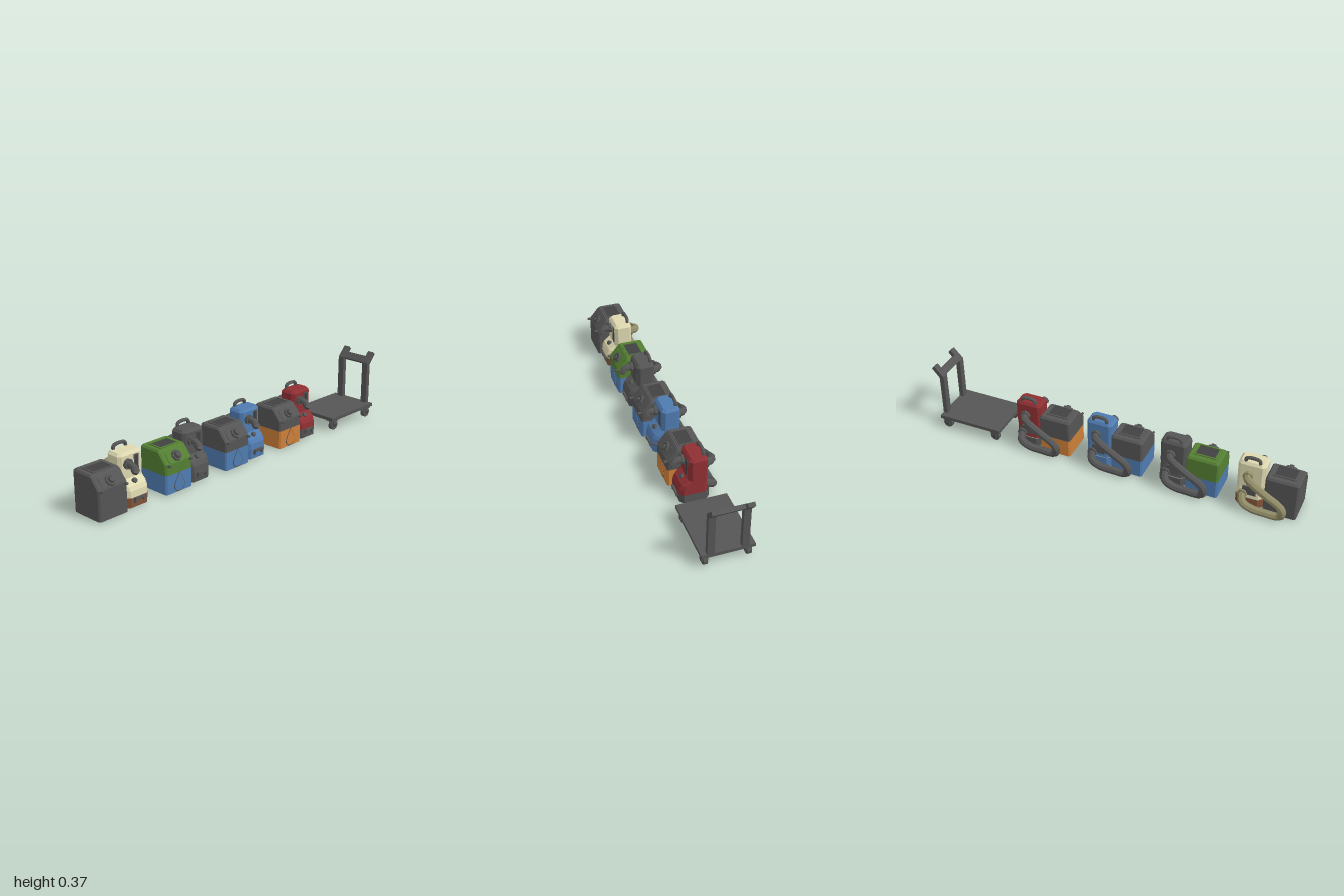
import * as THREE from 'three';

const mat = (name, color, side = THREE.DoubleSide) => {
  const m = new THREE.MeshStandardMaterial({ color, side, flatShading: true });
  m.name = name;
  return m;
};
const V = (x, y, z) => new THREE.Vector3(x, y, z);

// chamfered rectangle rings stacked upwards; section = [y, x0, x1, z0, z1, chamfer]
function loft(sections, capped) {
  const pos = [];
  const rings = sections.map(([y, x0, x1, z0, z1, c]) => [
    [x1, y, z0 + c], [x1, y, z1 - c], [x1 - c, y, z1], [x0 + c, y, z1],
    [x0, y, z1 - c], [x0, y, z0 + c], [x0 + c, y, z0], [x1 - c, y, z0]]);
  for (let i = 0; i < rings.length - 1; i++) {
    for (let j = 0; j < 8; j++) {
      const k = (j + 1) % 8;
      const a = rings[i][j], b = rings[i][k], c = rings[i + 1][j], d = rings[i + 1][k];
      pos.push(...a, ...c, ...b, ...b, ...c, ...d);
    }
  }
  if (capped) {
    const top = rings[rings.length - 1];
    for (let j = 1; j < 7; j++) pos.push(...top[0], ...top[j + 1], ...top[j]);
  }
  const g = new THREE.BufferGeometry();
  g.setAttribute('position', new THREE.Float32BufferAttribute(pos, 3));
  g.computeVertexNormals();
  return g;
}

function add(group, name, geo, material, x = 0, y = 0, z = 0, rx = 0, ry = 0, rz = 0) {
  const m = new THREE.Mesh(geo, material);
  m.name = name;
  m.position.set(x, y, z);
  m.rotation.set(rx, ry, rz);
  group.add(m);
  return m;
}
const box = (w, h, d) => new THREE.BoxGeometry(w, h, d);
const cyl = (r0, r1, h, n = 12) => new THREE.CylinderGeometry(r0, r1, h, n);
const tube = (pts, r, n = 28, sides = 8) =>
  new THREE.TubeGeometry(new THREE.CatmullRomCurve3(pts, false, 'centripetal'), n, r, sides);

// teardrop plate
function dropGeometry(s) {
  const d = new THREE.Shape();
  d.moveTo(0, 0.05 * s);
  d.bezierCurveTo(0.01 * s, 0.02 * s, 0.032 * s, 0.005 * s, 0.03 * s, -0.02 * s);
  d.bezierCurveTo(0.027 * s, -0.05 * s, -0.027 * s, -0.05 * s, -0.03 * s, -0.02 * s);
  d.bezierCurveTo(-0.032 * s, 0.005 * s, -0.01 * s, 0.02 * s, 0, 0.05 * s);
  return new THREE.ExtrudeGeometry(d, { depth: 0.003, bevelEnabled: false, curveSegments: 6 });
}

function createCanister(upper, lower, C) {
  const g = new THREE.Group();
  g.name = 'canister';
  const X0 = 0.003, X1 = 0.172;
  add(g, 'canisterLower', loft([
    [0.008, X0, X1, -0.08, 0.1, 0.008], [0.105, X0, X1, -0.08, 0.1, 0.008]], false), lower);
  add(g, 'canisterUpper', loft([
    [0.105, X0, X1, -0.08, 0.1, 0.008], [0.158, X0, X1, -0.08, 0.1, 0.008],
    [0.212, X0, X1, -0.08, 0.055, 0.008], [0.222, X0 + 0.008, X1 - 0.008, -0.072, 0.045, 0.006]], true), upper);

  // grip frame on the lid
  for (const s of [-1, 1]) {
    add(g, 'lidFrameSide', box(0.008, 0.006, 0.085), upper, 0.087 + s * 0.055, 0.224, -0.005);
    add(g, 'lidFrameEnd', box(0.118, 0.006, 0.008), upper, 0.087, 0.224, -0.005 + s * 0.04);
  }
  add(g, 'lidPanel', box(0.1, 0.002, 0.07), C.detail, 0.087, 0.223, -0.005);

  // screw cap on the sloped shoulder
  const cap = new THREE.Group();
  cap.name = 'screwCap';
  cap.position.set(0.087, 0.183, 0.079);
  cap.rotation.x = 0.88;
  add(cap, 'capPlate', box(0.115, 0.004, 0.056), upper, 0, 0.001, 0);
  add(cap, 'capRim', cyl(0.027, 0.029, 0.012, 8), C.dark, 0, 0.006, 0);
  add(cap, 'capRing', cyl(0.019, 0.019, 0.003, 8), C.detail, 0, 0.0125, 0);
  add(cap, 'capKnob', cyl(0.012, 0.014, 0.014, 6), C.dark, 0, 0.015, 0);
  g.add(cap);

  // latches
  add(g, 'leftLatch', cyl(0.007, 0.007, 0.016, 8), C.dark, 0.018, 0.155, 0.108, Math.PI / 2);
  add(g, 'rightLatch', cyl(0.007, 0.007, 0.016, 8), C.dark, 0.158, 0.155, 0.108, Math.PI / 2);

  // drop emblem
  if (lower !== upper) {
    add(g, 'dropOutline', dropGeometry(1.12), C.dark, 0.087, 0.056, 0.0985);
    add(g, 'drop', dropGeometry(1), lower, 0.087, 0.056, 0.1);
  }
  return g;
}

function createPump(body, base, hose, C) {
  const g = new THREE.Group();
  g.name = 'pump';
  const X0 = 0.18, X1 = 0.32, MID = 0.25;
  add(g, 'pumpBase', loft([
    [0.008, X0, X1, -0.07, 0.083, 0.022], [0.058, X0, X1, -0.07, 0.087, 0.022]], false), base);
  add(g, 'pumpBody', loft([
    [0.058, X0, X1, -0.066, 0.087, 0.022], [0.09, X0, X1, -0.062, 0.084, 0.022],
    [0.11, X0, X1, -0.058, 0.073, 0.02], [0.136, X0, X1, -0.057, 0.038, 0.015],
    [0.25, X0, X1, -0.057, 0.038, 0.015], [0.264, X0 + 0.012, X1 - 0.012, -0.048, 0.026, 0.012]], true), body);

  // carry handle
  add(g, 'carryHandle', tube([V(0.212, 0.258, -0.041), V(0.214, 0.277, -0.041), V(0.226, 0.285, -0.041),
    V(0.272, 0.285, -0.041), V(0.284, 0.277, -0.041), V(0.286, 0.258, -0.041)], 0.009, 20), C.dark);

  // gauge strip and controls
  add(g, 'gaugeFrame', box(0.027, 0.095, 0.004), C.dark, 0.28, 0.197, 0.038);
  add(g, 'gaugeStrip', box(0.016, 0.082, 0.003), C.detail, 0.28, 0.197, 0.0405);
  add(g, 'knob', cyl(0.012, 0.014, 0.014, 8), C.dark, MID, 0.126, 0.058, 0.95);
  add(g, 'drainHandle', box(0.058, 0.012, 0.014), C.dark, MID, 0.052, 0.09);
  for (const s of [-1, 1]) add(g, 'drainHandleEnd', box(0.01, 0.022, 0.012), C.dark, MID + s * 0.026, 0.043, 0.089);

  // outlet elbow
  add(g, 'outletCollar', cyl(0.026, 0.026, 0.014, 8), C.dark, 0.227, 0.21, 0.045, Math.PI / 2);
  add(g, 'outletElbow', tube([V(0.227, 0.21, 0.045), V(0.227, 0.21, 0.068), V(0.227, 0.203, 0.084),
    V(0.227, 0.19, 0.094)], 0.017, 10), C.dark);
  add(g, 'outletTip', cyl(0.021, 0.021, 0.016, 6), C.dark, 0.227, 0.192, 0.092, 0.8);

  // rear vent and hose loop
  add(g, 'rearVent', box(0.07, 0.05, 0.006), C.dark, MID, 0.1, -0.063);
  add(g, 'hose', tube([V(0.262, 0.19, -0.055), V(0.255, 0.188, -0.09), V(0.225, 0.178, -0.106),
    V(0.15, 0.135, -0.112), V(0.085, 0.1, -0.117), V(0.066, 0.075, -0.117), V(0.066, 0.045, -0.113),
    V(0.085, 0.027, -0.108), V(0.15, 0.026, -0.108), V(0.225, 0.032, -0.108),
    V(0.272, 0.055, -0.1), V(0.282, 0.08, -0.06)], 0.02, 48), hose);
  add(g, 'hoseCollar', cyl(0.026, 0.026, 0.018, 8), hose, 0.262, 0.19, -0.064, Math.PI / 2);
  add(g, 'hoseCollar', cyl(0.025, 0.025, 0.016, 8), hose, 0.282, 0.078, -0.068, Math.PI / 2);
  return g;
}

function createTrolley(C) {
  const g = new THREE.Group();
  g.name = 'trolley';
  const ZC = 0.007;
  add(g, 'platform', box(0.355, 0.018, 0.262), C.dark, 0.78, 0.076, ZC);

  // casters
  for (const x of [0.635, 0.922]) {
    for (const s of [-1, 1]) {
      const c = new THREE.Group();
      c.name = 'caster';
      c.position.set(x, 0, ZC + s * 0.106);
      add(c, 'swivelPlate', box(0.05, 0.008, 0.044), C.dark, 0, 0.064, 0);
      for (const t of [-1, 1]) add(c, 'fork', box(0.026, 0.036, 0.005), C.dark, 0.004, 0.046, t * 0.014);
      add(c, 'wheel', cyl(0.026, 0.026, 0.021, 14), C.dark, 0.004, 0.034, 0, Math.PI / 2);
      add(c, 'axle', cyl(0.008, 0.008, 0.036, 8), C.detail, 0.004, 0.034, 0, Math.PI / 2);
      g.add(c);
    }
  }

  // bent posts, drawn in side profile
  const p = new THREE.Shape();
  [[0.934, 0.08], [0.958, 0.08], [0.958, 0.308], [1, 0.358], [0.985, 0.372], [0.934, 0.318]]
    .forEach(([x, y], i) => (i ? p.lineTo(x, y) : p.moveTo(x, y)));
  const postGeo = new THREE.ExtrudeGeometry(p, { depth: 0.035, bevelEnabled: false });
  for (const z of [0.075, -0.092]) add(g, 'handlePost', postGeo, C.dark, 0, 0, z);
  add(g, 'crossbar', box(0.022, 0.04, 0.14), C.dark, 0.957, 0.327, 0.009, 0, 0, -0.7);
  return g;
}

export function createModel() {
  const C = {
    dark: mat('dark grey', 0x555555), detail: mat('charcoal', 0x414141),
    cream: mat('cream', 0xddd8b0), brown: mat('brown', 0x85553a),
    green: mat('green', 0x547f33), blue: mat('blue', 0x4f7bb0),
    orange: mat('orange', 0xcc7f38), red: mat('red', 0x8f2f33),
    khaki: mat('khaki', 0x8f8a66),
  };
  const root = new THREE.Group();
  root.name = 'cleaningStationSet';

  // four pump and canister pairs: x, canister upper, canister lower, body, base, hose
  [
    [-1.003, C.dark, C.dark, C.cream, C.brown, C.khaki],
    [-0.599, C.green, C.blue, C.dark, C.dark, C.dark],
    [-0.195, C.dark, C.blue, C.blue, C.blue, C.dark],
    [0.209, C.dark, C.orange, C.red, C.dark, C.dark],
  ].forEach(([x, upper, lower, body, base, hose]) => {
    const unit = new THREE.Group();
    unit.name = 'unit';
    unit.position.x = x;
    unit.add(createCanister(upper, lower, C), createPump(body, base, hose, C));
    root.add(unit);
  });
  root.add(createTrolley(C));
  return root;
}
